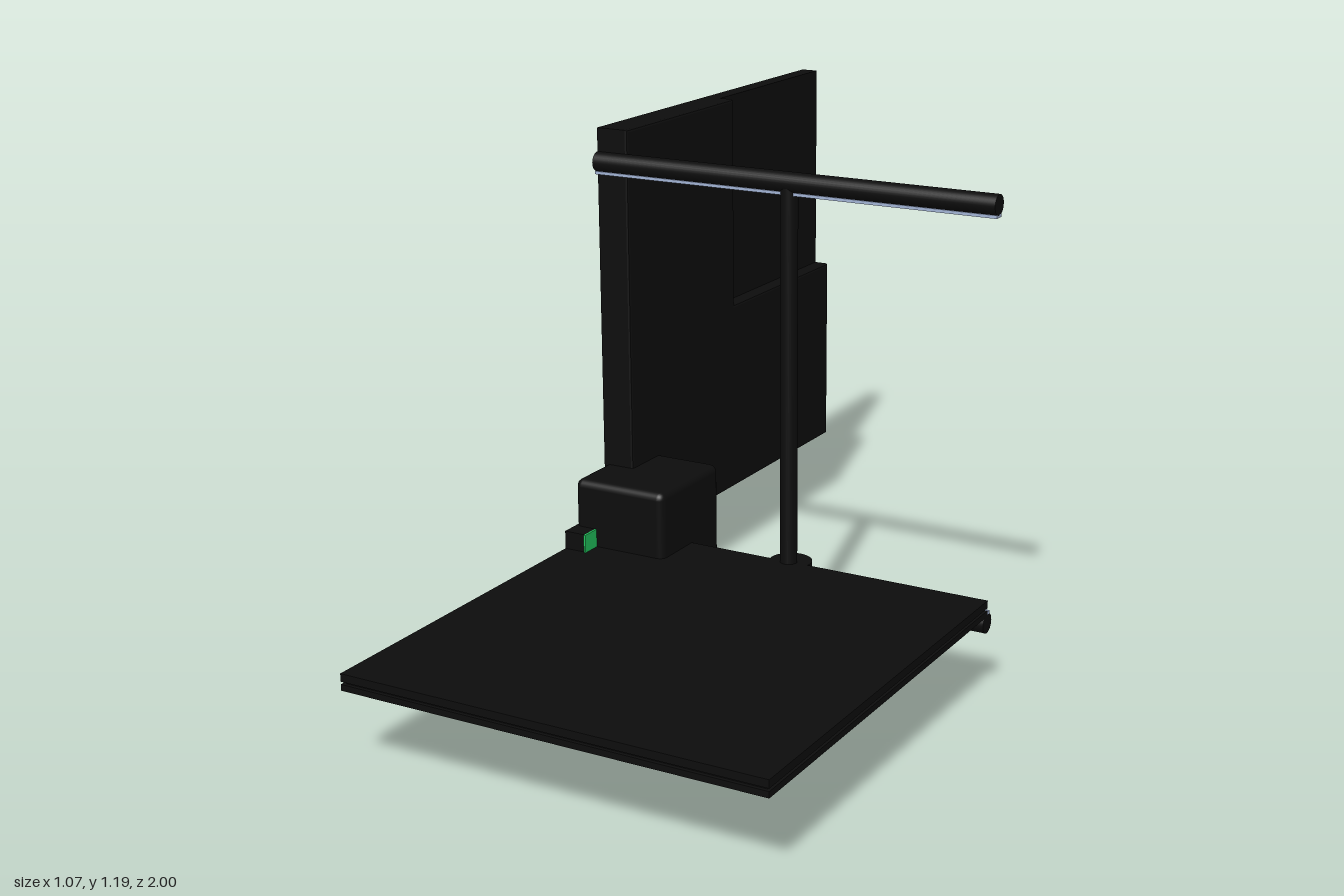
import * as THREE from 'three';
import { RoundedBoxGeometry } from 'three/addons/geometries/RoundedBoxGeometry.js';

export function createModel() {
  const model = new THREE.Group();
  const mat = (name, color) => {
    const m = new THREE.MeshStandardMaterial({ color });
    m.name = name;
    return m;
  };
  const black = mat('black', 0x0d0d0d);
  const green = mat('green', 0x22c55e);
  const blue = mat('paleBlue', 0xa3b4d6);

  const add = (name, geometry, material = black) => {
    const mesh = new THREE.Mesh(geometry, material);
    mesh.name = name;
    model.add(mesh);
    return mesh;
  };
  // Box given by its minimum and maximum corners, optionally rounded
  const box = (name, a, b, material = black, r = 0) => {
    const s = a.map((v, i) => b[i] - v);
    const g = r ? new RoundedBoxGeometry(...s, 3, r) : new THREE.BoxGeometry(...s);
    g.translate(...a.map((v, i) => (v + b[i]) / 2));
    return add(name, g, material);
  };
  const cylinder = (name, r, h, x, y, z, alongX = false) => {
    const g = new THREE.CylinderGeometry(r, r, h, 32);
    if (alongX) g.rotateZ(Math.PI / 2);
    return add(name, g.translate(x, y, z));
  };

  // Horizontal plate: two layers with a fine seam
  box('plateTop', [-0.465, 0.204, 0], [0.535, 0.222, 1]);
  box('plateCore', [-0.457, 0.195, 0.008], [0.527, 0.206, 0.992]);
  box('plateBottom', [-0.465, 0.184, 0], [0.535, 0.198, 1]);

  // Upright panel: full thin sheet plus an L-shaped bevelled layer
  box('panelSheet', [-0.465, 0.19, -1], [-0.423, 1.19, 0]);
  const b = 0.006;
  const outline = [[0, 0.19], [1, 0.19], [1, 0.67], [0.49, 0.67], [0.49, 1.19], [0, 1.19]];
  const ell = new THREE.Shape(outline.map(([x, y]) => new THREE.Vector2(x, y)));
  const layer = new THREE.ExtrudeGeometry(ell, {
    depth: 0.04 - b, bevelSize: b, bevelThickness: b, bevelOffset: -b, bevelSegments: 2,
  });
  layer.rotateY(Math.PI / 2).translate(-0.425, 0, 0);
  add('panelLayer', layer);

  // Corner block
  box('cornerBlock', [-0.465, 0, -0.13], [-0.225, 0.38, 0.13], black, 0.018);

  // Cross block with green inner face
  box('crossBlock', [-0.465, 0.12, -0.175], [-0.412, 0.265, 0.175]);
  box('greenFace', [-0.412, 0.12, -0.178], [-0.407, 0.265, 0.178], green);

  // Stepped socket ring with a pale centre
  const profile = [[0.037, 0.12], [0.07, 0.12], [0.07, 0.19], [0.05, 0.19], [0.05, 0.215], [0.037, 0.215], [0.037, 0.12]];
  const ring = new THREE.LatheGeometry(profile.map(([x, y]) => new THREE.Vector2(x, y)), 40)
    .toNonIndexed();
  ring.computeVertexNormals();
  add('socketRing', ring.translate(-0.468, 0, 0));
  add('socketCentre', new THREE.CylinderGeometry(0.037, 0.037, 0.008, 40).translate(-0.468, 0.15, 0), blue);

  // Horizontal rods and their light strips
  cylinder('upperRod', 0.023, 1, 0.035, 1.112, 0, true);
  box('upperStrip', [-0.465, 1.084, -0.012], [0.535, 1.091, 0.012], blue);
  cylinder('lowerRod', 0.023, 1, 0.035, 0.168, 0, true);
  box('lowerStrip', [-0.465, 0.188, -0.012], [0.535, 0.195, 0.012], blue);

  // Upright post with flange
  cylinder('post', 0.02, 0.92, 0.035, 0.64, 0);
  cylinder('postFlange', 0.05, 0.025, 0.035, 0.209, -0.01);

  return model;
}
